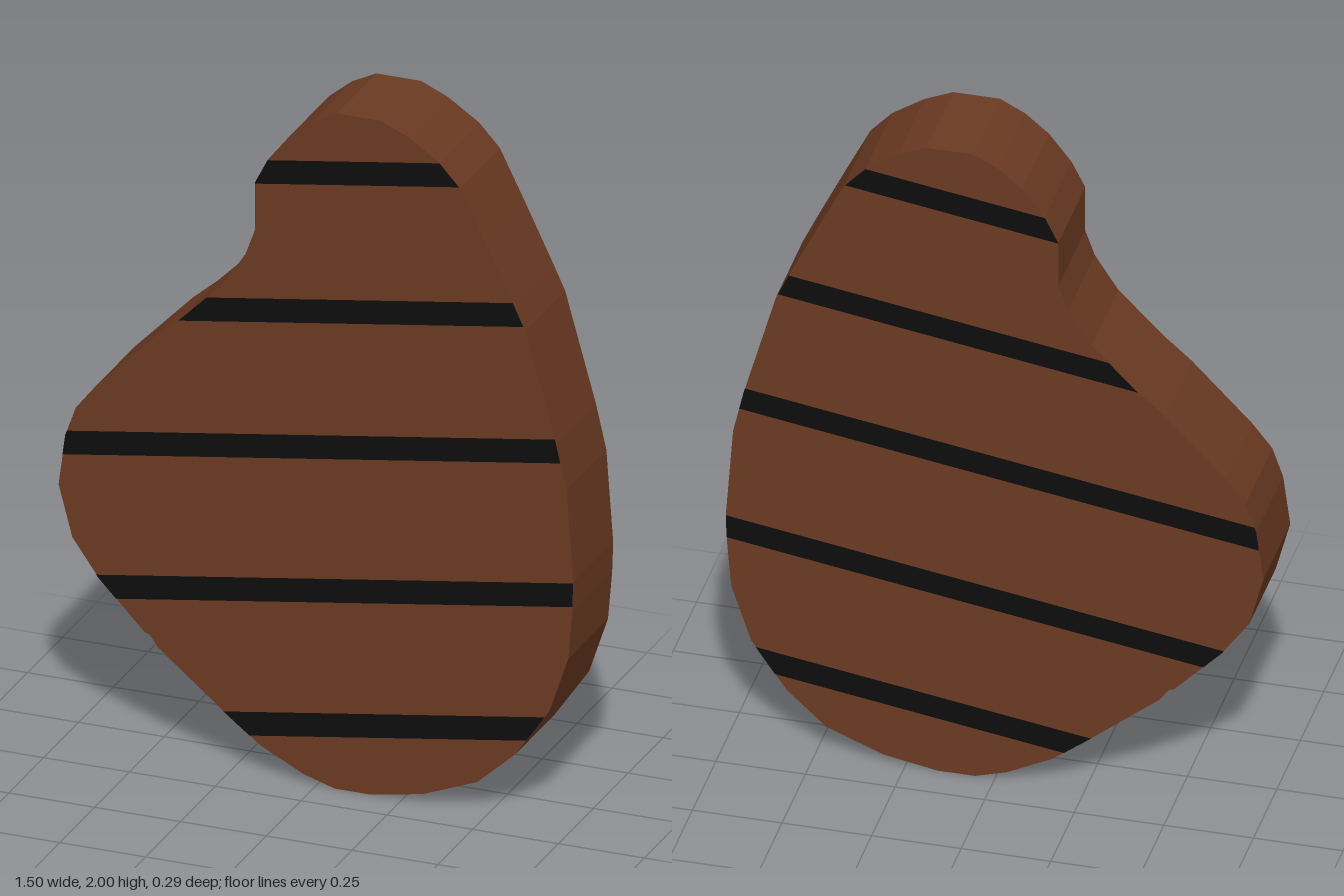
import * as THREE from 'three';

const DEPTH = 0.285;
const SLOPE = 0.151;        // tilt of the grill marks
const HALF_WIDTH = 0.035;   // half their height

// Outline of the slab, clockwise from the top
const OUTLINE = [
  [0.06, 2], [0.19, 2], [0.27, 1.965], [0.36, 1.905], [0.42, 1.84], [0.49, 1.7],
  [0.575, 1.525], [0.61, 1.45], [0.655, 1.29], [0.7, 1.13], [0.73, 1], [0.75, 0.73],
  [0.747, 0.64], [0.735, 0.5], [0.68, 0.335], [0.58, 0.19], [0.47, 0.09], [0.31, 0.027],
  [0.16, 0], [0.055, 0], [-0.035, 0.027], [-0.16, 0.09], [-0.27, 0.175], [-0.46, 0.33],
  [-0.485, 0.365], [-0.5, 0.37], [-0.635, 0.51], [-0.71, 0.615], [-0.75, 0.765], [-0.73, 0.915],
  [-0.7, 1], [-0.645, 1.07], [-0.475, 1.245], [-0.4, 1.31], [-0.27, 1.44], [-0.205, 1.54],
  [-0.178, 1.615], [-0.178, 1.755], [-0.14, 1.83], [-0.077, 1.91], [-0.01, 1.965],
].map(([x, y]) => new THREE.Vector2(x, y));

// Keep the part of a polygon where side(point) >= 0
function clip(points, side) {
  const kept = [];
  points.forEach((a, i) => {
    const b = points[(i + 1) % points.length];
    const da = side(a), db = side(b);
    if (da >= 0) kept.push(a);
    if ((da >= 0) !== (db >= 0)) kept.push(a.clone().lerp(b, da / (da - db)));
  });
  return kept;
}

export function createModel() {
  const group = new THREE.Group();
  group.name = 'steak';

  const meat = new THREE.MeshStandardMaterial({ color: 0x6b3a22 });
  meat.name = 'browned meat';
  const char = new THREE.MeshStandardMaterial({ color: 0x0d0d0d });
  char.name = 'char black';

  // Slab of meat
  const slabGeometry = new THREE.ExtrudeGeometry(new THREE.Shape(OUTLINE), {
    depth: DEPTH, bevelEnabled: false,
  });
  slabGeometry.translate(0, 0, -DEPTH / 2);
  const slab = new THREE.Mesh(slabGeometry, meat);
  slab.name = 'slab';
  group.add(slab);

  // Grill marks: slanted bands trimmed to the outline, on both faces
  [0.18, 0.578, 1.003, 1.405, 1.815].forEach((height, i) => {
    const offset = (p) => p.y - height - SLOPE * p.x;
    let band = clip(OUTLINE, (p) => offset(p) + HALF_WIDTH);
    band = clip(band, (p) => HALF_WIDTH - offset(p));

    const front = new THREE.ShapeGeometry(new THREE.Shape(band));
    front.translate(0, 0, DEPTH / 2 + 0.002);

    // Mirrored in x, then turned round, so the back band matches the front one
    const mirrored = band.map((p) => new THREE.Vector2(-p.x, p.y));
    const back = new THREE.ShapeGeometry(new THREE.Shape(mirrored));
    back.translate(0, 0, DEPTH / 2 + 0.002);
    back.rotateY(Math.PI);

    [['front', front], ['back', back]].forEach(([face, geometry]) => {
      const mark = new THREE.Mesh(geometry, char);
      mark.name = `${face}GrillMark${i + 1}`;
      group.add(mark);
    });
  });

  return group;
}
